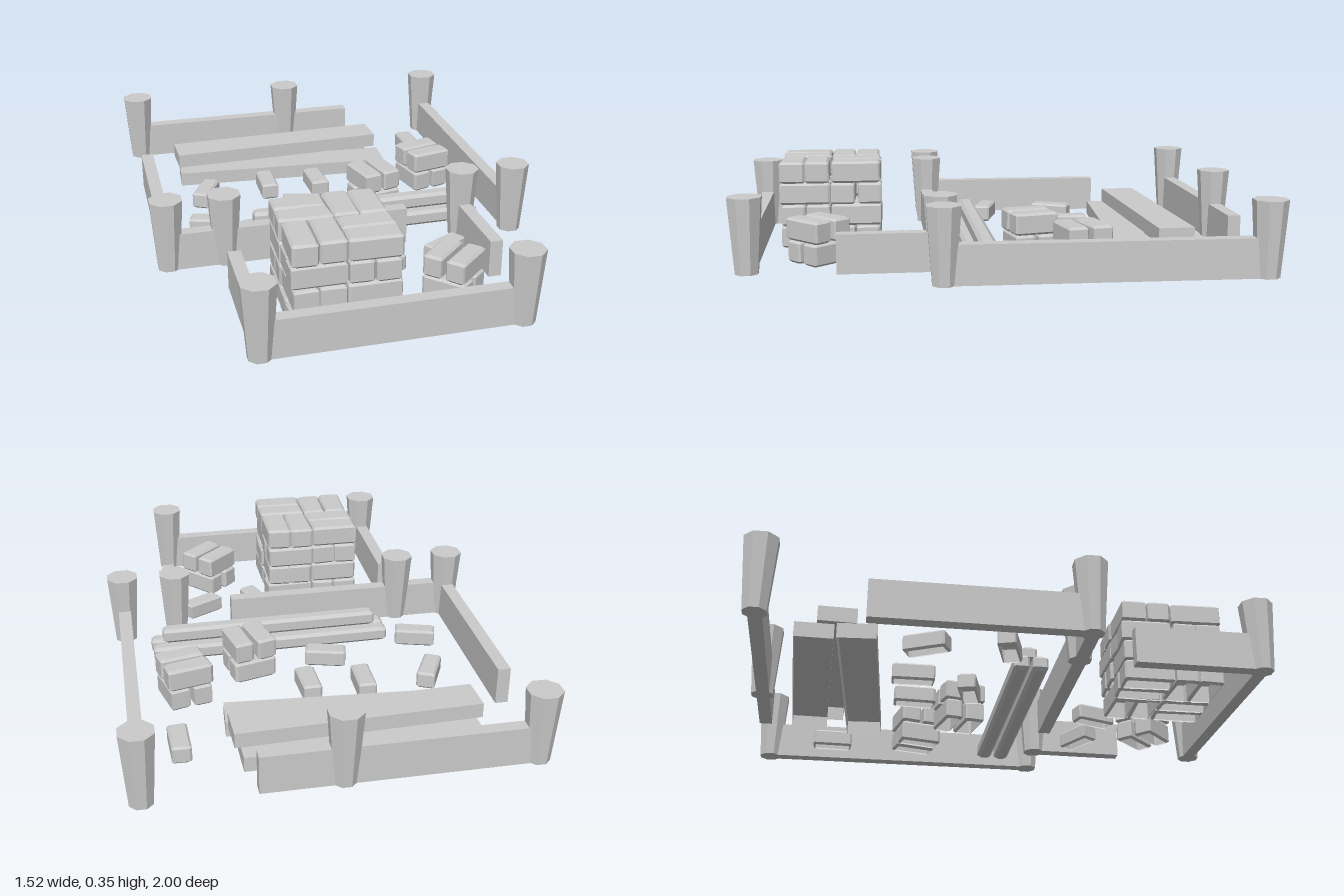
import * as THREE from 'three';

const material = new THREE.MeshStandardMaterial({ color: 0xcccccc, flatShading: true, side: THREE.DoubleSide });

// Small seeded generator for uneven bricks, range -1..1
let seed = 7;
const jitter = () => {
  seed = (seed * 16807) % 2147483647;
  return (seed / 2147483647) * 2 - 1;
};

function add(parent, name, geometry, x = 0, y = 0, z = 0, turn = 0) {
  const mesh = new THREE.Mesh(geometry, material);
  mesh.name = name;
  mesh.position.set(x, y, z);
  mesh.rotation.y = turn;
  parent.add(mesh);
  return mesh;
}

// Block with chamfered edges standing on y = 0: octagonal rings, long side on x
function chamferedBlock(length, height, width, chamfer, wobble = 0, closed = false) {
  const sway = Array.from({ length: 8 }, () => jitter() * wobble);
  const rings = [[0, chamfer], [chamfer, 0], [height - chamfer, 0], [height, chamfer]];
  const points = [];
  const indices = [];
  for (const [y, inset] of rings) {
    const a = length / 2 - inset, b = width / 2 - inset, c = chamfer * 0.7;
    [[a, b - c], [a - c, b], [c - a, b], [-a, b - c], [-a, c - b], [c - a, -b], [a - c, -b], [a, c - b]]
      .forEach(([x, z], i) => points.push(x + sway[i], y, z + sway[(i + 3) % 8]));
  }
  for (let r = 0; r < 3; r++) {
    for (let i = 0; i < 8; i++) {
      const p = r * 8 + i, q = r * 8 + (i + 1) % 8;
      indices.push(p, p + 8, q, q, p + 8, q + 8);
    }
  }
  for (let i = 1; i < 7; i++) {
    indices.push(24, 24 + i + 1, 24 + i);
    if (closed) indices.push(0, i, i + 1);
  }
  // Wind every face outward
  const g = new THREE.BufferGeometry();
  g.setAttribute('position', new THREE.Float32BufferAttribute(points, 3));
  g.setIndex(indices);
  const flat = g.toNonIndexed();
  flat.computeVertexNormals();
  return flat;
}

// Plank or wall without its underside
function openBox(length, height, width) {
  const g = new THREE.BoxGeometry(length, height, width).toNonIndexed();
  const keep = (attribute) => {
    const n = attribute.itemSize, a = Array.from(attribute.array);
    a.splice(18 * n, 6 * n);
    return new THREE.Float32BufferAttribute(a, n);
  };
  for (const key of ['position', 'normal', 'uv']) g.setAttribute(key, keep(g.attributes[key]));
  return g.translate(0, height / 2, 0);
}

// Lays a piece between two ground points
function between(parent, name, [x1, z1, x2, z2], y, makeGeometry) {
  const length = Math.hypot(x2 - x1, z2 - z1);
  add(parent, name, makeGeometry(length), (x1 + x2) / 2, y, (z1 + z2) / 2, -Math.atan2(z2 - z1, x2 - x1));
}

function group(parent, name) {
  const g = new THREE.Group();
  g.name = name;
  parent.add(g);
  return g;
}

export function createModel() {
  const model = group(new THREE.Group(), 'buildingSite');
  model.removeFromParent();

  // Tapered octagonal posts
  const posts = group(model, 'posts');
  const postGeometry = new THREE.CylinderGeometry(0.066, 0.045, 0.285, 8).rotateY(Math.PI / 8).translate(0, 0.1425, 0);
  [[-0.7, -0.93], [0, -0.94], [0.695, -0.94], [-0.7, 0.235], [-0.48, 0.235],
    [0.48, 0.225], [0.695, 0.225], [-0.48, 0.935], [0.46, 0.93]]
    .forEach(([x, z]) => add(posts, 'post', postGeometry, x, 0, z));

  // Low board walls
  const walls = group(model, 'walls');
  [[-0.7, -0.93, 0.3, -0.94], [0.695, -0.94, 0.695, 0.225], [-0.7, -0.555, -0.7, 0.235],
    [-0.7, 0.24, 0.245, 0.23], [0.48, 0.225, 0.485, 0.605], [-0.48, 0.445, -0.48, 0.935],
    [-0.48, 0.935, 0.46, 0.925]]
    .forEach((ends) => between(walls, 'wallBoard', ends, 0,
      (l) => new THREE.BoxGeometry(l, 0.148, 0.05).translate(0, 0.074, 0)));

  // Wide planks, one lying across two
  const planks = group(model, 'plankPile');
  [[-0.54, -0.735, 0.335, -0.76, 0], [-0.555, -0.585, 0.365, -0.53, 0], [-0.56, -0.655, 0.36, -0.695, 0.058]]
    .forEach((p) => between(planks, 'plank', p.slice(0, 4), p[4], (l) => openBox(l, 0.058, 0.142)));

  // Chamfered beams, one resting on two
  const beams = group(model, 'beamPile');
  [[-0.387, 0.036, 0.59, 0.015, 0], [-0.387, 0.107, 0.595, 0.09, 0], [-0.34, 0.072, 0.548, 0.055, 0.06]]
    .forEach((b) => between(beams, 'beam', b.slice(0, 4), b[4],
      (l) => chamferedBlock(l, 0.06, 0.06, 0.012, 0, true)));

  // Loose bricks: x, z, direction x, direction z
  const loose = group(model, 'looseBricks');
  [[0.545, -0.665, 1, 31], [-0.475, -0.33, 14, -28], [-0.2, -0.36, 0, 1], [0.015, -0.34, 1, 30],
    [-0.095, -0.13, 30, 8], [-0.5, -0.03, 30, 9], [0.115, 0.415, 10, 28], [0.355, 0.4, 28, -16]]
    .forEach(([x, z, dx, dz]) => add(loose, 'looseBrick',
      chamferedBlock(0.163, 0.068, 0.072, 0.008, 0.003), x, 0, z, -Math.atan2(dz, dx)));

  // Small heaps: two bricks laid across two others
  [[0.22, -0.14, 8, 33], [0.49, -0.3, 33, -8], [0.29, 0.68, 24, -23]].forEach(([x, z, dx, dz]) => {
    const heap = group(model, 'brickHeap');
    heap.position.set(x, 0, z);
    heap.rotation.y = -Math.atan2(dz, dx);
    for (const side of [-1, 1]) {
      add(heap, 'lowerBrick', chamferedBlock(0.17, 0.086, 0.075, 0.009, 0.003), side * 0.046, 0, 0, Math.PI / 2);
      add(heap, 'upperBrick', chamferedBlock(0.173, 0.086, 0.078, 0.009, 0.003), 0, 0.086, side * 0.046);
    }
  });

  // Tall stack: four courses of brick pairs, direction alternating by quadrant
  const stack = group(model, 'brickStack');
  stack.position.set(-0.15, 0, 0.64);
  for (let course = 0; course < 4; course++) {
    for (const sx of [-1, 1]) {
      for (const sz of [-1, 1]) {
        const alongX = (sx === sz) === (course % 2 === 1);
        for (const side of [-0.049, 0.049]) {
          add(stack, 'stackedBrick', chamferedBlock(0.197, 0.0865, 0.095, 0.009, 0.004),
            sx * 0.1 + (alongX ? 0 : side) + jitter() * 0.003, course * 0.0865,
            sz * 0.101 + (alongX ? side : 0) + jitter() * 0.004, alongX ? 0 : Math.PI / 2);
        }
      }
    }
  }
  return model;
}
